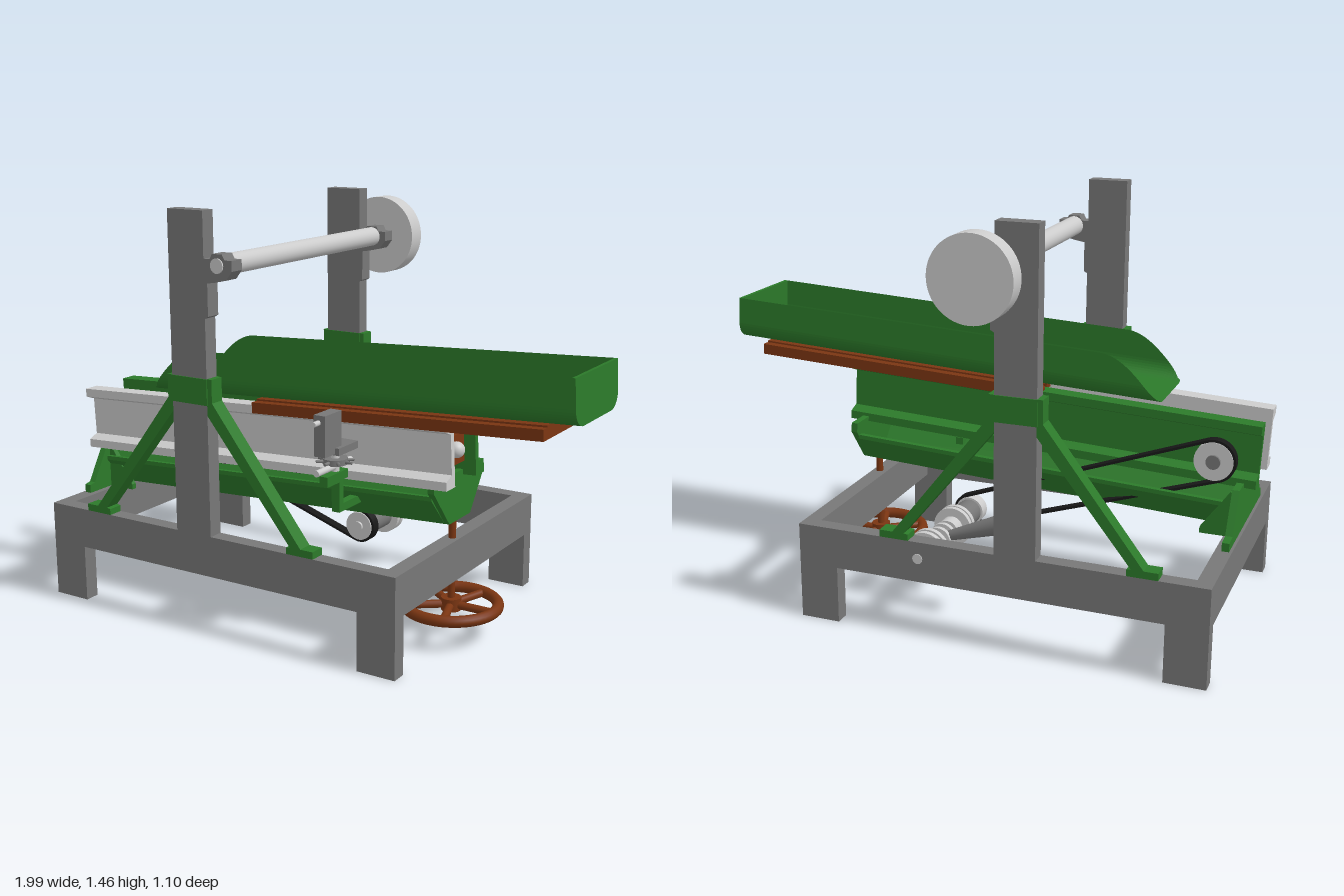
import * as THREE from 'three';
import { ParametricGeometry } from 'three/addons/geometries/ParametricGeometry.js';

const mat = (color, side = THREE.FrontSide) => new THREE.MeshStandardMaterial({ color, side });
const GREY = mat(0xcccccc), STEEL = mat(0x777777), GREEN = mat(0x2c7a2a), BROWN = mat(0x7a3512), BLACK = mat(0x181818);
const GREEN2 = mat(0x2c7a2a, THREE.DoubleSide);

function add(parent, name, geo, material) {
  const m = new THREE.Mesh(geo, material);
  m.name = name;
  parent.add(m);
  return m;
}
// Box from its lower and upper limits
function box(p, name, material, x0, x1, y0, y1, z0, z1) {
  const m = add(p, name, new THREE.BoxGeometry(x1 - x0, y1 - y0, z1 - z0), material);
  m.position.set((x0 + x1) / 2, (y0 + y1) / 2, (z0 + z1) / 2);
  return m;
}
// Cylinder between two points
function rod(p, name, material, a, b, r0, r1 = r0, seg = 32) {
  const A = new THREE.Vector3(...a), B = new THREE.Vector3(...b), d = B.clone().sub(A);
  const m = add(p, name, new THREE.CylinderGeometry(r1, r0, d.length(), seg), material);
  m.position.copy(A).add(B).multiplyScalar(0.5);
  m.quaternion.setFromUnitVectors(new THREE.Vector3(0, 1, 0), d.normalize());
  return m;
}
const shapeOf = pts => new THREE.Shape(pts.map(p => new THREE.Vector2(...p)));
// Outline in x,y extruded along z
function plateXY(p, name, material, pts, z0, z1) {
  const g = new THREE.ExtrudeGeometry(shapeOf(pts), { depth: z1 - z0, bevelEnabled: false });
  return add(p, name, g.translate(0, 0, z0), material);
}
// Outline in z,y extruded along x
function plateZY(p, name, material, pts, x0, x1) {
  const g = new THREE.ExtrudeGeometry(shapeOf(pts.map(([z, y]) => [-z, y])), { depth: x1 - x0, bevelEnabled: false });
  return add(p, name, g.rotateY(Math.PI / 2).translate(x0, 0, 0), material);
}
function group(p, name, y = 0, tilt = 0) {
  const g = new THREE.Group();
  g.name = name;
  g.position.y = y;
  g.rotation.z = tilt;
  p.add(g);
  return g;
}

function buildFrame(root) {
  const f = group(root, 'frame');
  for (const [z0, z1] of [[-0.475, -0.42], [0.49, 0.545]]) {
    box(f, 'sideRail', STEEL, -0.96, 0.49, 0.205, 0.35, z0, z1);
    box(f, 'leg', STEEL, -0.96, -0.817, 0, 0.205, z0, z1);
    box(f, 'leg', STEEL, 0.347, 0.49, 0, 0.205, z0, z1);
    box(f, 'upright', STEEL, -0.38, -0.235, 0.35, 1.455, z0, z1);
    // Bearing bracket on the inner edge of the upright
    plateXY(f, 'bearingBracket', STEEL, [[-0.24, 1.1], [-0.222, 1.11], [-0.222, 1.22], [-0.19, 1.225], [-0.145, 1.235],
      [-0.122, 1.265], [-0.122, 1.3], [-0.15, 1.3], [-0.16, 1.318], [-0.2, 1.318], [-0.21, 1.3], [-0.24, 1.3]], z0, z1);
    // Diagonal braces with feet
    const e = 0.004;
    for (const [xu, xf, s] of [[-0.38, -0.73, -1], [-0.235, 0.12, 1]]) {
      plateXY(f, 'brace', GREEN2, [[xu, 0.9], [xu + s * 0.02, 0.9], [xu + s * 0.02, 0.82], [xf + s * 0.012, 0.375],
        [xf + s * 0.06, 0.375], [xf + s * 0.06, 0.35], [xf - s * 0.045, 0.35], [xf - s * 0.045, 0.372], [xf - s * 0.03, 0.375],
        [xu, 0.775]], z0, z1);
    }
    box(f, 'braceCollar', GREEN, -0.382, -0.233, 0.81, 0.9, z0 - e, z1 + e);
  }
  box(f, 'endRail', STEEL, -0.96, -0.903, 0.205, 0.35, -0.42, 0.49);
  box(f, 'endRail', STEEL, 0.433, 0.49, 0.205, 0.35, -0.42, 0.49);
  rod(f, 'topShaft', GREY, [-0.18, 1.28, -0.47], [-0.18, 1.28, 0.49], 0.035);
  rod(f, 'shaftEnd', GREY, [-0.18, 1.28, 0.48], [-0.18, 1.28, 0.55], 0.025);
  rod(f, 'flywheel', GREY, [-0.18, 1.28, -0.545], [-0.18, 1.28, -0.475], 0.145, 0.145, 64);
}

function buildTray(root) {
  const t = group(root, 'tray', 0.803, 0.05);
  const x0 = -0.65, x1 = 0.99, r = 0.06, H = 0.157, zc = 0.172, hw = 0.172, n = 10;
  // Rounded trough section up to rim height h
  const section = h => {
    const a = h < r ? Math.acos(1 - h / r) : Math.PI / 2, half = [];
    for (let i = 0; i <= n; i++) {
      const q = a * i / n;
      half.push([hw - r + r * Math.sin(q), r - r * Math.cos(q)]);
    }
    half.push([half[n][0], h]);
    return [...half.map(([z, y]) => [-z, y]).reverse(), ...half];
  };
  const count = 2 * n + 3;
  const shell = (u, v, out) => {
    const k = u < 0.75 ? u / 0.75 : 1;
    const x = u < 0.75 ? x0 + 0.22 * k : x0 + 0.22 + (x1 - x0 - 0.22) * (u - 0.75) / 0.25;
    const s = section(Math.max(0.008, H * Math.sin(k * Math.PI / 2)));
    const [z, y] = s[Math.round(v * count)];
    out.set(x, y, zc + z);
  };
  add(t, 'trayShell', new ParametricGeometry(shell, 24, count), GREEN2);
  plateZY(t, 'trayEnd', GREEN, section(H).map(([z, y]) => [z + zc, y]), x1 - 0.012, x1);
  // Bolted wear plate on the floor
  box(t, 'wearPlate', BROWN, -0.12, 0.81, 0, 0.01, 0.115, 0.23);
  for (let i = 0; i < 6; i++) for (const z of [0.145, 0.2])
    rod(t, 'bolt', BROWN, [-0.03 + 0.151 * i, 0.005, z], [-0.03 + 0.151 * i, 0.018, z], 0.014, 0.014, 12);
  // Carrier frame underneath
  box(t, 'carrierPlate', BROWN, -0.2, 0.885, -0.026, -0.002, 0.03, 0.315);
  for (const z of [0, 0.31]) box(t, 'carrierRail', BROWN, -0.2, 0.885, -0.046, -0.008, z, z + 0.035);
  box(t, 'carrierEnd', BROWN, 0.855, 0.885, -0.046, -0.008, 0, 0.345);
  box(t, 'carrierRib', BROWN, -0.2, 0.87, -0.055, -0.02, 0.15, 0.195);
}

function buildChannel(root) {
  const c = group(root, 'deckChannel', 0.55, 0.048);
  // C-section walls: steel at the front, green at the back
  const wall = (name, m, zi, zo) => plateZY(c, name, m, [[zi, 0], [zo, 0], [zo, 0.03], [zi + (zo - zi) * 0.35, 0.045],
    [zi + (zo - zi) * 0.35, 0.18], [zo, 0.195], [zo, 0.225], [zi, 0.225]], -0.99, 0.54);
  wall('frontWall', mat(0xcccccc, THREE.DoubleSide), 0.245, 0.305);
  wall('backWall', GREEN2, 0.095, 0.035);
  for (const x of [-0.92, -0.83]) rod(c, 'crossPin', GREY, [x, 0.1, 0.08], [x, 0.1, 0.26], 0.012);
  rod(c, 'crossCollar', GREY, [-0.86, 0.1, 0.12], [-0.86, 0.1, 0.22], 0.04);
  box(c, 'slideBlock', BROWN, 0.3, 0.5, 0.05, 0.15, 0.1, 0.245);
  const ball = add(c, 'ball', new THREE.SphereGeometry(0.028, 24, 16), GREY);
  ball.position.set(0.51, 0.105, 0.172);
  rod(c, 'trayLink', GREY, [0.42, 0.15, 0.172], [0.42, 0.23, 0.172], 0.015);

  // Trapezoid base trough with end plates
  const b = group(root, 'baseTrough', 0.402, 0.05);
  plateZY(b, 'trough', GREEN2, [[0.2, 0], [0.285, 0.1], [0.285, 0.115], [0.27, 0.115], [0.19, 0.015],
    [0.06, 0.015], [-0.02, 0.115], [-0.04, 0.115], [-0.04, 0.1], [0.05, 0]], -0.93, 0.48);
  plateZY(b, 'frontEndPlate', GREEN, [[0.2, 0], [0.3, 0.13], [0.3, 0.165], [-0.06, 0.165], [-0.06, 0.13], [0.05, 0]], 0.475, 0.498);
  plateZY(root, 'rearStand', GREEN, [[0.385, 0.35], [0.385, 0.38], [0.36, 0.385], [0.28, 0.52], [-0.04, 0.52],
    [-0.12, 0.385], [-0.17, 0.38], [-0.17, 0.35]], -0.95, -0.925);
  for (const z of [0.25, -0.04]) plateXY(root, 'standGusset', GREEN, [[-0.93, 0.35], [-0.82, 0.35], [-0.82, 0.37], [-0.92, 0.51], [-0.93, 0.51]], z, z + 0.02);
}

function buildDrive(root) {
  const d = group(root, 'drive');
  const X = 0.04, Y = 0.29;
  const along = (name, m, z0, z1, r) => rod(d, name, m, [X, Y, z0], [X, Y, z1], r);
  along('driveShaft', GREY, -0.478, 0.04, 0.018);
  for (const z of [-0.405, -0.375, -0.165, -0.14]) along('bearingDisc', GREY, z - 0.009, z + 0.009, 0.07);
  along('bearingHub', GREY, -0.41, -0.34, 0.04);
  along('bearingHub', GREY, -0.22, -0.13, 0.04);
  along('shaftSleeve', STEEL, -0.13, 0, 0.045);
  for (const z of [-0.295, -0.255]) along('eccentric', GREY, z - 0.008, z + 0.008, 0.045);
  rod(d, 'eccentricArm', STEEL, [X, Y, -0.275], [-0.18, 0.37, -0.275], 0.015, 0.035);
  // Rocker post and lever to the tray
  rod(d, 'rockerPost', STEEL, [-0.2, 0.35, -0.27], [-0.2, 0.84, -0.27], 0.02);
  rod(d, 'rockerFoot', STEEL, [-0.2, 0.35, -0.27], [-0.2, 0.39, -0.27], 0.035);
  rod(d, 'leverRod', BROWN, [-0.22, 0.77, -0.16], [-0.21, 0.77, 0.06], 0.012);
  box(d, 'leverHead', BROWN, -0.25, -0.18, 0.75, 0.79, -0.31, -0.15);
  // Belt pulleys
  along('drivePulley', GREY, -0.012, 0.032, 0.052);
  rod(d, 'drivenPulley', GREY, [-0.85, 0.6, -0.01], [-0.85, 0.6, 0.03], 0.068);
  rod(d, 'pulleyHub', STEEL, [-0.85, 0.6, -0.02], [-0.85, 0.6, 0.1], 0.025);
  // Flat belt: outer loop minus inner loop around both pulleys
  const ang = Math.atan2(Y - 0.6, X + 0.85), loop = (path, t) => path
    .absarc(X, Y, 0.052 + t, ang - Math.PI / 2, ang + Math.PI / 2)
    .absarc(-0.85, 0.6, 0.068 + t, ang + Math.PI / 2, ang + Math.PI * 1.5).closePath();
  const belt = loop(new THREE.Shape(), 0.009);
  belt.holes.push(loop(new THREE.Path(), 0));
  add(d, 'belt', new THREE.ExtrudeGeometry(belt, { depth: 0.034, bevelEnabled: false, curveSegments: 24 }).translate(0, 0, -0.007), BLACK);
}

function buildAdjuster(root) {
  const a = group(root, 'sideAdjuster');
  // S-shaped green arm from the trough to the clamp
  plateZY(a, 'adjusterArm', GREEN, [[0.2, 0.465], [0.385, 0.465], [0.385, 0.57], [0.458, 0.57], [0.458, 0.605],
    [0.33, 0.605], [0.33, 0.575], [0.358, 0.575], [0.358, 0.492], [0.2, 0.492]], 0.152, 0.182);
  box(a, 'clampBlock', STEEL, 0.132, 0.175, 0.67, 0.81, 0.36, 0.46);
  box(a, 'clampFoot', STEEL, 0.125, 0.19, 0.665, 0.69, 0.28, 0.4);
  rod(a, 'adjusterScrew', GREY, [0.16, 0.59, 0.375], [0.16, 0.68, 0.375], 0.014);
  rod(a, 'adjusterWheel', STEEL, [0.16, 0.63, 0.375], [0.16, 0.65, 0.375], 0.042);
  for (let i = 0; i < 8; i++) {
    const q = i * Math.PI / 4;
    rod(a, 'wheelSpike', STEEL, [0.16, 0.64, 0.375], [0.16 + 0.065 * Math.cos(q), 0.64, 0.375 + 0.065 * Math.sin(q)], 0.009, 0.005, 8);
  }
  rod(a, 'stopBar', GREY, [0.16, 0.622, 0.28], [0.16, 0.622, 0.49], 0.011);
  rod(a, 'pivotPin', GREY, [0.15, 0.785, 0.26], [0.15, 0.785, 0.49], 0.009);

  // Height handwheel under the outfeed end
  const h = group(root, 'handwheel');
  h.position.set(0.463, 0.11, 0.112);
  add(h, 'wheelRim', new THREE.TorusGeometry(0.162, 0.02, 12, 48).rotateX(Math.PI / 2), BROWN);
  rod(h, 'wheelHub', BROWN, [0, -0.02, 0], [0, 0.025, 0], 0.035);
  for (let i = 0; i < 5; i++) {
    const q = i * Math.PI * 0.4;
    rod(h, 'spoke', BROWN, [0, 0, 0], [0.16 * Math.cos(q), 0, 0.16 * Math.sin(q)], 0.014, 0.014, 12);
  }
  rod(h, 'liftScrew', BROWN, [0, 0, 0], [0, 0.33, 0], 0.013);
}

export function createModel() {
  const root = new THREE.Group();
  root.name = 'vibratingFeederMachine';
  for (const build of [buildFrame, buildTray, buildChannel, buildDrive, buildAdjuster]) build(root);
  return root;
}
